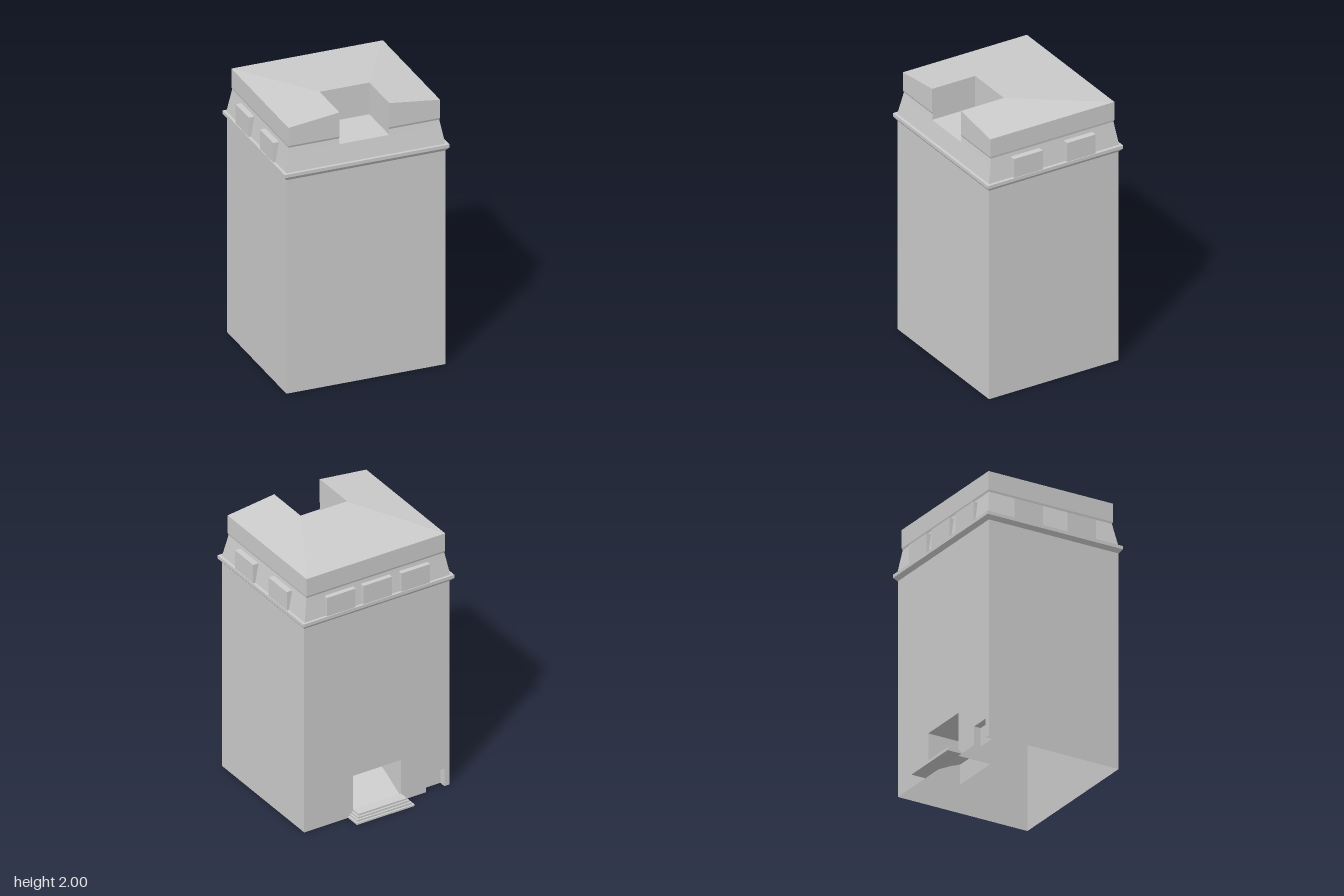
import * as THREE from 'three';

const material = new THREE.MeshStandardMaterial({ color: 0xcccccc, flatShading: true, side: THREE.DoubleSide });

// Flat-faced geometry from a list of four-cornered faces
function quads(list) {
  const pos = [];
  for (const [a, b, c, d] of list) pos.push(...a, ...b, ...c, ...a, ...c, ...d);
  const g = new THREE.BufferGeometry();
  g.setAttribute('position', new THREE.Float32BufferAttribute(pos, 3));
  g.computeVertexNormals();
  return g;
}

// Side faces joining successive rings of corners, bottom to top
function loft(rings) {
  const faces = [];
  for (let r = 0; r < rings.length - 1; r++) {
    const lo = rings[r], hi = rings[r + 1];
    lo.forEach((p, i) => {
      const j = (i + 1) % lo.length;
      faces.push([p, lo[j], hi[j], hi[i]]);
    });
  }
  return faces;
}

// Rectangular ring: height, half width, front z, back z
const rect = (y, x, f, b) => [[-x, y, f], [x, y, f], [x, y, b], [-x, y, b]];

export function createModel() {
  const model = new THREE.Group();
  const add = (name, geometry, x = 0, y = 0, z = 0) => {
    const m = new THREE.Mesh(geometry, material);
    m.name = name;
    m.position.set(x, y, z);
    model.add(m);
    return m;
  };
  const box = (name, x0, x1, y0, y1, z0, z1) =>
    add(name, new THREE.BoxGeometry(x1 - x0, y1 - y0, z1 - z0), (x0 + x1) / 2, (y0 + y1) / 2, (z0 + z1) / 2);

  const W = 0.575, F = 0.55, B = -0.467, H = 1.585;
  const door = { x0: -0.19, x1: 0.19, h: 0.315, d: 0.25 };
  const hatch = { x0: -0.533, x1: -0.389, h: 0.137, d: 0.05 };

  // Hollow tower: front and side walls, open underneath
  const walls = loft([rect(0, W, F, B), rect(H, W, F, B)]);
  add('towerWalls', quads([walls[0], walls[1], walls[3]]));

  // Back wall with the two doorways cut from its lower edge
  const back = new THREE.Shape();
  back.moveTo(-W, 0);
  for (const o of [hatch, door]) {
    back.lineTo(o.x0, 0);
    back.lineTo(o.x0, o.h);
    back.lineTo(o.x1, o.h);
    back.lineTo(o.x1, 0);
  }
  back.lineTo(W, 0);
  back.lineTo(W, H);
  back.lineTo(-W, H);
  back.closePath();
  const backGeometry = new THREE.ShapeGeometry(back);
  backGeometry.scale(-1, 1, 1).rotateY(Math.PI); // face -z, keeping x
  // mirrored triangles: reverse corner order so the outside is the front
  const index = backGeometry.index;
  for (let i = 0; i < index.count; i += 3) {
    const t = index.getX(i);
    index.setX(i, index.getX(i + 2));
    index.setX(i + 2, t);
  }
  backGeometry.computeVertexNormals();
  add('backWall', backGeometry, 0, 0, B);

  // Recesses behind the doorways: jambs, ceiling and inner wall
  const recess = (name, { x0, x1, h, d }) => {
    const z = B + d;
    add(name, quads([
      [[x0, 0, B], [x0, h, B], [x0, h, z], [x0, 0, z]],
      [[x1, 0, z], [x1, h, z], [x1, h, B], [x1, 0, B]],
      [[x0, h, B], [x1, h, B], [x1, h, z], [x0, h, z]],
      [[x1, 0, z], [x0, 0, z], [x0, h, z], [x1, h, z]],
    ]));
  };
  recess('doorRecess', door);
  recess('hatchRecess', hatch);

  // Sloping floor inside the main doorway
  const slope = [[0.03, 0], [0.12, 0.18], [0.147, 0.25]];
  const ramp = [];
  for (let i = 0; i < 2; i++) {
    const [y0, d0] = slope[i], [y1, d1] = slope[i + 1];
    ramp.push([[door.x1, y0, B + d0], [door.x0, y0, B + d0], [door.x0, y1, B + d1], [door.x1, y1, B + d1]]);
  }
  add('doorRamp', quads(ramp));

  // Four nested entrance steps
  for (let i = 0; i < 4; i++) {
    const x = 0.228 - i * 0.0125;
    box('step', -x, x, 0, 0.013 + i * 0.014, -0.576 + i * 0.0125, B);
  }

  // Cornice flaring out from the wall top
  add('cornice', quads(loft([
    rect(H, W, F, B),
    rect(1.612, 0.597, 0.571, -0.491),
    rect(1.636, 0.597, 0.571, -0.491),
    rect(1.636, W, F, -0.473),
  ])));

  // Inclined parapet up to the level of the roof notch
  const N = 0.18, Z = 0.185, notchY = 1.765;
  const mid = [0.552, 0.524, -0.4535];
  add('parapet', quads(loft([rect(1.636, W, F, -0.473), rect(notchY, ...mid)])));
  const floor = mid[1];
  add('notchFloor', quads([[[-N, notchY, floor], [N, notchY, floor], [N, notchY, Z], [-N, notchY, Z]]]));

  // Upper storey: rings with a square notch at the front; ridge height may differ from the eaves
  const notched = (y, x, f, b, ridge = y) => [
    [-x, y, f], [-N, ridge, f], [-N, ridge, Z], [N, ridge, Z],
    [N, ridge, f], [x, y, f], [x, y, b], [-x, y, b],
  ];
  const top = notched(1.955, 0.548, 0.523, -0.453, 2);
  add('upperWalls', quads(loft([
    notched(notchY, ...mid),
    notched(1.805, 0.545, 0.517, -0.448),
    notched(1.82, 0.548, 0.523, -0.453),
    top,
  ])));

  // Three gentle roof slopes around the notch
  add('roof', quads([
    [top[0], top[1], top[2], top[7]],
    [top[2], top[3], top[6], top[7]],
    [top[4], top[5], top[6], top[3]],
  ]));

  // Blocky window panels: two on each side, three at the back
  for (const [z0, z1] of [[0.138, 0.364], [-0.278, -0.053]]) {
    box('leftPanel', 0.545, 0.592, 1.636, 1.779, z0, z1);
    box('rightPanel', -0.592, -0.545, 1.636, 1.779, z0, z1);
  }
  for (const x of [-0.295, 0.006, 0.293]) {
    box('backPanel', x - 0.113, x + 0.113, 1.636, 1.779, -0.486, -0.45);
  }

  return model;
}
